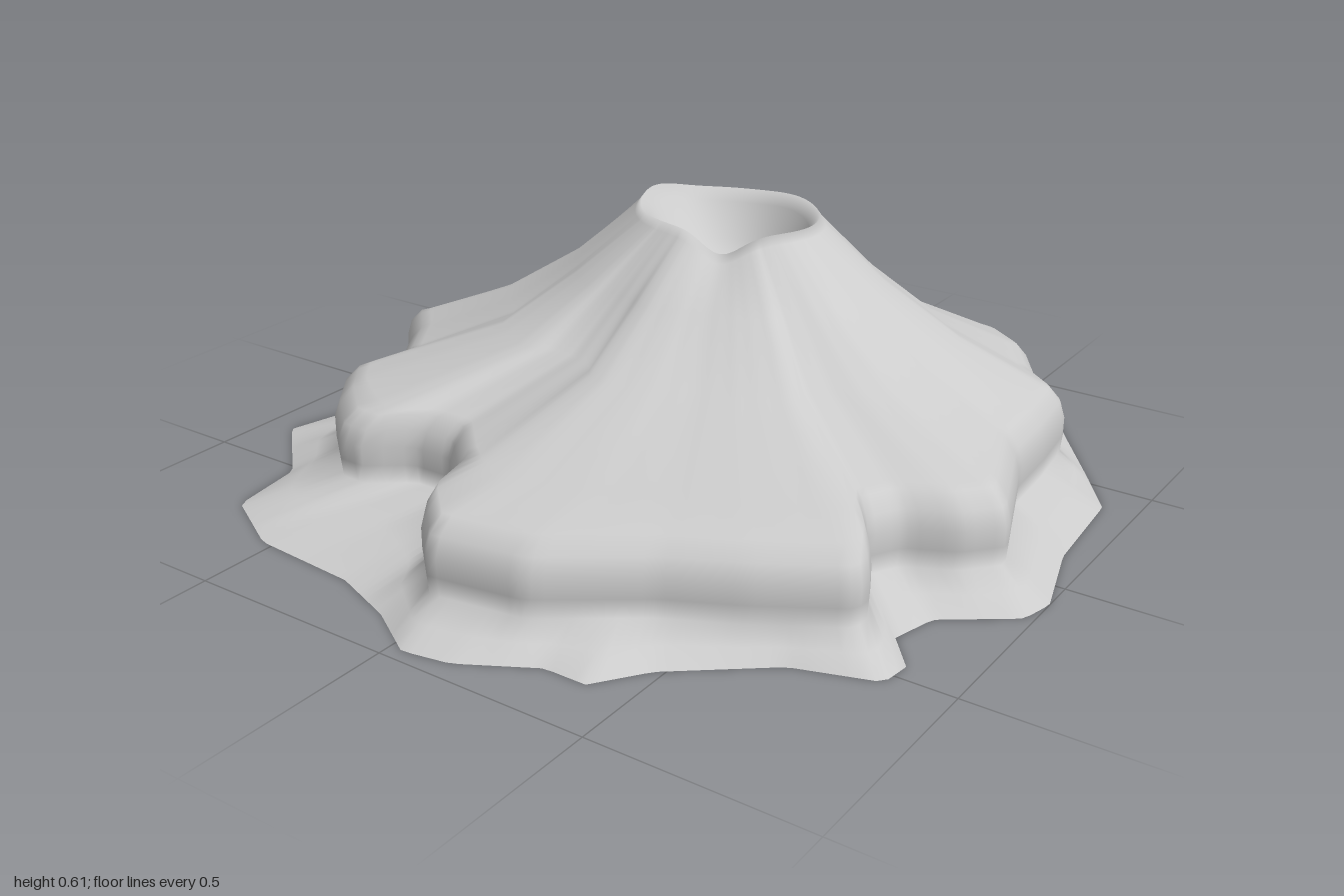
import * as THREE from 'three';

const CX = 0, CZ = -0.24; // crater centre, origin of every cross-section
const SEG = 288;

// Shoreline (ground level) and cliff edge as x, z pairs
const shore = [
  0.94, -0.13, 0.92, -0.40, 0.83, -0.53, 0.70, -0.71, 0.61, -0.84, 0.54, -0.89, 0.38, -0.91,
  0.035, -0.98, -0.12, -0.96, -0.32, -0.97, -0.50, -0.94, -0.53, -0.84, -0.54, -0.76, -0.72, -0.71,
  -0.77, -0.59, -0.92, -0.43, -0.93, -0.27, -1.0, -0.11, -0.95, 0.05, -0.88, 0.19, -0.92, 0.35,
  -0.74, 0.52, -0.71, 0.71, -0.53, 0.81, -0.26, 0.83, -0.10, 0.89, 0.03, 0.97, 0.14, 0.95,
  0.30, 0.86, 0.40, 0.86, 0.48, 0.75, 0.68, 0.59, 0.86, 0.53, 0.87, 0.45, 0.80, 0.38,
  0.83, 0.27, 0.98, 0.16, 1.0, 0.08,
];
const cliff = [
  0.90, 0.08, 0.87, 0, 0.80, -0.19, 0.79, -0.35, 0.77, -0.51, 0.67, -0.59, 0.58, -0.73,
  0.48, -0.80, 0.32, -0.83, 0.22, -0.87, 0.03, -0.90, -0.02, -0.855, -0.16, -0.80, -0.30, -0.87,
  -0.355, -0.83, -0.48, -0.845, -0.49, -0.70, -0.64, -0.68, -0.72, -0.61, -0.73, -0.45,
  -0.80, -0.29, -0.805, -0.13, -0.865, -0.03, -0.78, 0.06, -0.69, 0.20, -0.72, 0.36,
  -0.64, 0.465, -0.53, 0.56, -0.46, 0.56, -0.37, 0.49, -0.26, 0.49, -0.14, 0.61,
  -0.105, 0.755, 0, 0.855, 0.22, 0.82, 0.43, 0.67, 0.59, 0.59, 0.77, 0.48, 0.77, 0.42,
  0.68, 0.29, 0.725, 0.21, 0.83, 0.16,
];

// Distance from the crater centre to a closed outline along angle a
function radiusAt(outline, a) {
  const dx = Math.cos(a), dz = Math.sin(a), n = outline.length;
  let best = 0;
  for (let i = 0; i < n; i += 2) {
    const px = outline[i] - CX, pz = outline[i + 1] - CZ;
    const ex = outline[(i + 2) % n] - CX - px, ez = outline[(i + 3) % n] - CZ - pz;
    const det = ex * dz - ez * dx;
    if (Math.abs(det) < 1e-9) continue;
    const s = (pz * dx - px * dz) / det;
    const r = (px + s * ex) * dx + (pz + s * ez) * dz;
    if (s >= -1e-6 && s <= 1 + 1e-6) best = Math.max(best, r);
  }
  return best;
}

const ellipse = (a, rx, rz) => 1 / Math.hypot(Math.cos(a) / rx, Math.sin(a) / rz);
const bump = (a, at, width) => {
  const d = Math.atan2(Math.sin(a - at), Math.cos(a - at)) / width;
  return Math.exp(-d * d);
};

// Radius and height of each ring at angle a, from the shore up and into the crater
function profile(a) {
  const rs = radiusAt(shore, a), rc = radiusAt(cliff, a);
  let mean = 0;
  for (let k = -4; k <= 4; k++) mean += radiusAt(cliff, a + k * 0.1) / 9;
  const fold = rc / mean - 1; // gullies running up the flank
  const front = Math.sin(a) > 0;
  const low = ellipse(a, 0.575, front ? 0.48 : 0.42) * (1 + 0.5 * fold);
  const mid = ellipse(a, 0.39, front ? 0.33 : 0.295) * (1 + 0.25 * fold);
  const top = ellipse(a, 0.225, 0.175);
  const lip = 0.588 - 0.05 * bump(a, 1.1, 0.35) + 0.02 * bump(a, 3.2, 0.4) + 0.01 * bump(a, -1, 0.6);
  const edge = rc * 0.95;
  return [
    [rs, 0], [rc + (rs - rc) * 0.5, 0.03], [rc * 0.995, 0.06], [rc, 0.105], [rc, 0.15],
    [rc * 0.985, 0.19], [edge, 0.222], [Math.min(edge * 0.97, low + 0.33), 0.23],
    [low, 0.322], [mid, 0.445], [top * 1.07, lip - 0.02], [top, lip],
    [top * 0.88, lip - 0.03], [top * 0.62, 0.48], [top * 0.35, 0.43], [0.001, 0.415],
  ];
}

export function createModel() {
  const group = new THREE.Group();
  const rock = new THREE.MeshStandardMaterial({ color: 0xcccccc, side: THREE.DoubleSide });
  rock.name = 'grey rock';

  const positions = [], index = [];
  let rings = 0;
  for (let i = 0; i < SEG; i++) {
    const a = (i / SEG) * Math.PI * 2;
    const points = profile(a);
    rings = points.length;
    points.forEach(([r, y], j) => {
      const shift = j > 12 ? (j - 12) * 0.015 : 0; // crater floor sits off-centre
      positions.push(CX + r * Math.cos(a) + shift, y, CZ + r * Math.sin(a));
    });
  }
  for (let i = 0; i < SEG; i++) {
    for (let j = 0; j < rings - 1; j++) {
      const p = i * rings + j, q = ((i + 1) % SEG) * rings + j;
      index.push(p, p + 1, q, q, p + 1, q + 1);
    }
  }
  const geometry = new THREE.BufferGeometry();
  geometry.setAttribute('position', new THREE.Float32BufferAttribute(positions, 3));
  geometry.setIndex(index);
  geometry.computeVertexNormals();

  // Hollow shell: shore apron, cliff, flank and crater in one surface
  const mountain = new THREE.Mesh(geometry, rock);
  mountain.name = 'volcanoShell';
  group.add(mountain);
  return group;
}
